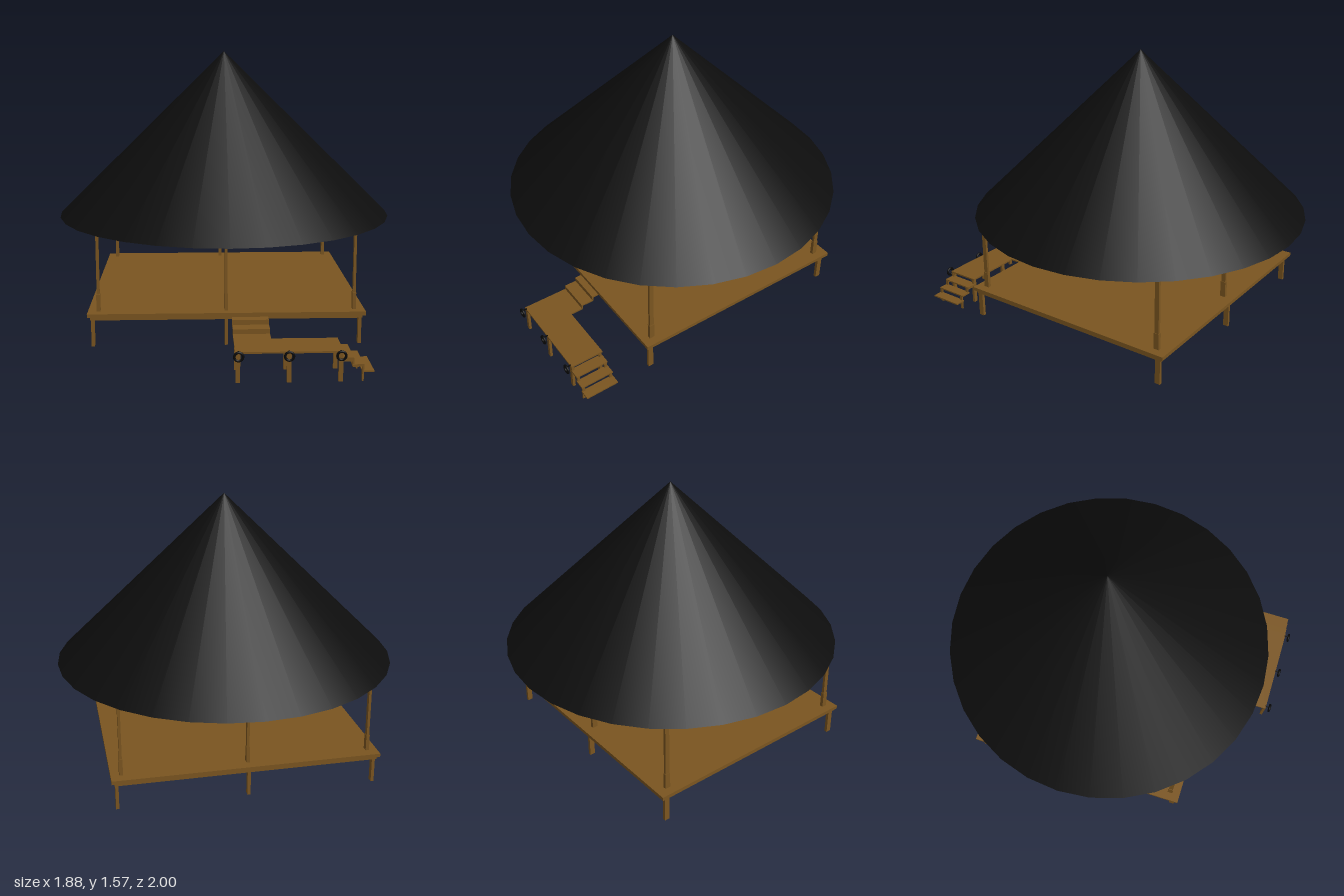
import * as THREE from 'three';

const wood = new THREE.MeshStandardMaterial({ name: 'brown wood', color: 0x7a5520 });
const thatch = new THREE.MeshStandardMaterial({ name: 'dark roof', color: 0x0d0d0d });
const rubber = new THREE.MeshStandardMaterial({ name: 'black rubber', color: 0x080808 });

// Wooden box given by its limits on each axis
function board(parent, name, x0, x1, y0, y1, z0, z1) {
  const mesh = new THREE.Mesh(new THREE.BoxGeometry(x1 - x0, y1 - y0, z1 - z0), wood);
  mesh.position.set((x0 + x1) / 2, (y0 + y1) / 2, (z0 + z1) / 2);
  mesh.name = name;
  parent.add(mesh);
  return mesh;
}

// Upright centred on x, z
function upright(parent, name, x, z, w, d, y0, y1) {
  return board(parent, name, x - w / 2, x + w / 2, y0, y1, z - d / 2, z + d / 2);
}

function group(parent, name) {
  const g = new THREE.Group();
  g.name = name;
  parent.add(g);
  return g;
}

export function createModel() {
  const model = new THREE.Group();
  model.name = 'roundRoofPavilion';

  // Conical roof, closed underneath
  const roof = new THREE.Mesh(new THREE.ConeGeometry(0.94, 0.92, 32), thatch);
  roof.position.set(0, 1.105, -0.06);
  roof.name = 'roof';
  model.add(roof);

  // Floor slab over an inset beam layer
  const deck = group(model, 'deck');
  board(deck, 'floor', -0.73, 0.72, 0.214, 0.234, -0.69, 0.6);
  board(deck, 'floorFrame', -0.715, 0.705, 0.196, 0.214, -0.675, 0.585);

  // Stilts below the floor, posts with thicker feet above
  const stilts = group(model, 'stilts');
  const posts = group(model, 'posts');
  for (const z of [0.567, -0.648])
    for (const x of [-0.703, -0.008, 0.692])
      upright(stilts, 'stilt', x, z, 0.017, 0.03, 0.055, 0.2);
  for (const z of [0.54, -0.622])
    for (const x of [-0.675, -0.008, 0.665]) {
      upright(posts, 'post', x, z, 0.014, 0.025, 0.23, 0.648);
      upright(posts, 'postFoot', x, z, 0.019, 0.03, 0.23, 0.325);
    }

  // Landing in front, on six legs
  const landing = group(model, 'landing');
  board(landing, 'landingFloor', 0.02, 0.545, 0.147, 0.156, 0.775, 0.965);
  for (const x of [0.034, 0.282, 0.533])
    for (const z of [0.788, 0.957])
      upright(landing, 'landingLeg', x, z, 0.022, 0.015, 0, 0.15);

  // Steps from the landing up to the deck
  const upperSteps = group(model, 'upperSteps');
  [[0.7, 0.78, 0.156], [0.63, 0.705, 0.181], [0.57, 0.635, 0.207]].forEach(([z0, z1, y], i) => {
    board(upperSteps, 'tread', 0.02, 0.21, y - 0.009, y, z0, z1);
    if (i) board(upperSteps, 'riser', 0.02, 0.21, y - 0.03, y, z1 - 0.007, z1);
  });

  // Steps from the landing down to the ground
  const lowerSteps = group(model, 'lowerSteps');
  [[0.53, 0.595, 0.122], [0.588, 0.645, 0.088], [0.637, 0.695, 0.056]].forEach(([x0, x1, y]) => {
    board(lowerSteps, 'tread', x0, x1, y - 0.008, y, 0.775, 0.965);
    for (const z of [0.79, 0.955])
      board(lowerSteps, 'stepBracket', x0, x0 + 0.009, y - 0.01, y + 0.03, z - 0.008, z + 0.008);
  });
  for (const z of [0.79, 0.955]) {
    board(lowerSteps, 'stepSide', 0.545, 0.595, 0.102, 0.116, z - 0.007, z + 0.007);
    board(lowerSteps, 'stepSide', 0.59, 0.642, 0.074, 0.082, z - 0.007, z + 0.007);
    upright(lowerSteps, 'stepLeg', 0.641, z, 0.008, 0.015, 0, 0.08);
  }

  // Ring fenders on the front edge, held by short pins
  const fenders = group(model, 'fenders');
  for (const x of [0.036, 0.28, 0.531]) {
    const ring = new THREE.Mesh(new THREE.TorusGeometry(0.021, 0.0065, 8, 24), rubber);
    ring.position.set(x, 0.141, 0.989);
    ring.name = 'fenderRing';
    fenders.add(ring);
    const pin = new THREE.Mesh(new THREE.BoxGeometry(0.006, 0.006, 0.025), rubber);
    pin.position.set(x, 0.157, 0.974);
    pin.name = 'fenderPin';
    fenders.add(pin);
  }

  return model;
}
